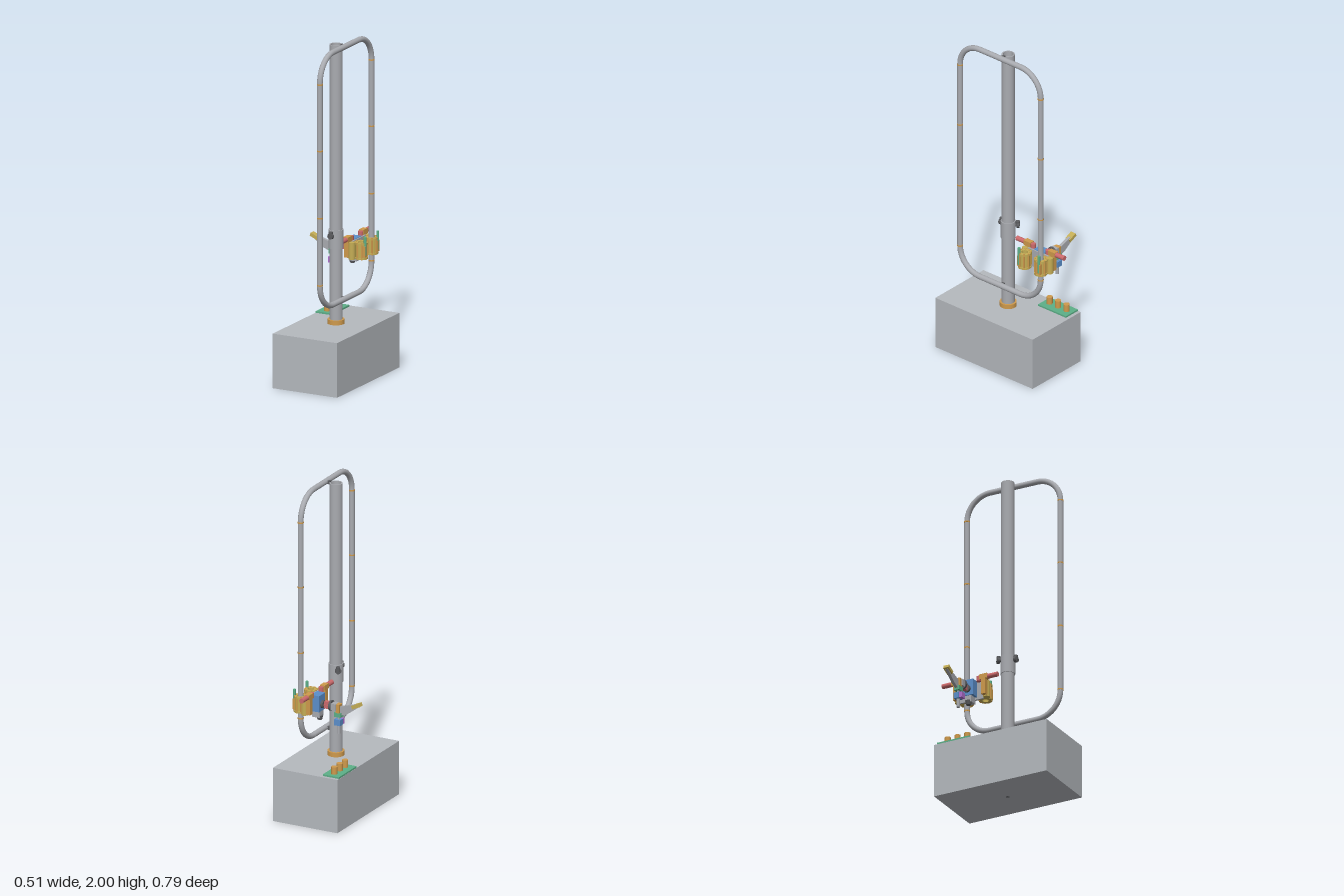
import * as THREE from 'three';

const mat = (name, hex) => new THREE.MeshStandardMaterial({ name, color: hex, side: THREE.DoubleSide });

export function createModel() {
  const root = new THREE.Group();
  root.name = 'mastWithLoopAndGripper';
  const M = {
    base: mat('baseGrey', 0xb5b9be),
    steel: mat('steelGrey', 0xa9abb0),
    dark: mat('darkGrey', 0x5c5d60),
    orange: mat('amber', 0xcf9a4c),
    olive: mat('brass', 0xc4ad55),
    red: mat('red', 0xcc6a6c),
    green: mat('green', 0x5db088),
    blue: mat('blue', 0x5b8fcb),
    purple: mat('purple', 0xb070d0),
  };
  let parent = root;
  const group = (name) => {
    parent = new THREE.Group();
    parent.name = name;
    root.add(parent);
  };
  const add = (name, geo, m, x = 0, y = 0, z = 0) => {
    const mesh = new THREE.Mesh(geo, m);
    mesh.name = name;
    mesh.position.set(x, y, z);
    parent.add(mesh);
    return mesh;
  };
  // Box given by its limits on each axis
  const box = (name, m, x0, x1, y0, y1, z0, z1) =>
    add(name, new THREE.BoxGeometry(x1 - x0, y1 - y0, z1 - z0), m, (x0 + x1) / 2, (y0 + y1) / 2, (z0 + z1) / 2);
  // Cylinder centred at a point, along a chosen axis
  const cyl = (name, m, r, len, x, y, z, axis = 'y', r2 = r) => {
    const c = add(name, new THREE.CylinderGeometry(r, r2, len, 24), m, x, y, z);
    if (axis === 'x') c.rotation.z = Math.PI / 2;
    if (axis === 'z') c.rotation.x = Math.PI / 2;
    return c;
  };
  // Hollow upright tube as a closed lathe with sharp rims
  const pipe = (name, m, ro, ri, y0, y1, x, z) => {
    const s = new THREE.Shape().absarc(0, 0, ro, 0, Math.PI * 2);
    s.holes.push(new THREE.Path().absarc(0, 0, ri, 0, Math.PI * 2, true));
    const g = new THREE.ExtrudeGeometry(s, { depth: y1 - y0, bevelEnabled: false, curveSegments: 24 });
    g.rotateX(-Math.PI / 2);
    return add(name, g, m, x, y0, z);
  };

  // Pedestal
  group('pedestal');
  box('baseBlock', M.base, -0.168, 0.253, 0, 0.325, -0.342, 0.394);
  cyl('baseDrain', M.dark, 0.01, 0.002, 0.042, 0.0008, 0.025);

  // Mast with foot collar
  group('mast');
  const px = 0.042, pz = 0.025;
  pipe('mastTube', M.steel, 0.038, 0.031, 0.325, 1.985, px, pz);
  pipe('innerTube', M.steel, 0.017, 0.014, 0.325, 1.96, px, pz);
  cyl('mastFloor', M.steel, 0.032, 0.01, px, 1.93, pz);
  pipe('footCollar', M.orange, 0.049, 0.036, 0.325, 0.352, px, pz);

  // Sliding sleeve with clamp knobs
  group('sleeve');
  pipe('sleeveTube', M.steel, 0.043, 0.037, 0.775, 0.885, px, pz);
  for (const [dx, dz] of [[-0.08, 1], [-0.75, -0.85]]) {
    const d = new THREE.Vector3(dx, 0, dz).normalize();
    const stem = cyl('knobStem', M.dark, 0.009, 0.03, px + d.x * 0.045, 0.855, pz + d.z * 0.045);
    const knob = cyl('knob', M.dark, 0.018, 0.016, px + d.x * 0.056, 0.855, pz + d.z * 0.056);
    for (const k of [stem, knob]) k.quaternion.setFromUnitVectors(new THREE.Vector3(0, 1, 0), d);
    cyl('knobGrip', M.dark, 0.012, 0.03, px + d.x * 0.055, 0.865, pz + d.z * 0.055);
  }

  // Rounded upright loop
  group('loop');
  const lx = 0.107, tr = 0.0165, R = 0.15, zA = 0.333, zB = -0.277, yT = 1.983, yB = 0.482;
  const corners = [[yT - R, zA - R], [yT - R, zB + R], [yB + R, zB + R], [yB + R, zA - R]];
  corners.forEach(([y, z], i) => {
    const t = add('loopCorner', new THREE.TorusGeometry(R, tr, 16, 12, Math.PI / 2), M.steel, lx, y, z);
    t.rotation.set(0, -Math.PI / 2, i * Math.PI / 2);
  });
  for (const z of [zA, zB]) {
    cyl('loopUpright', M.steel, tr, yT - yB - 2 * R, lx, (yT + yB) / 2, z);
    for (const y of [0.635, 1.035, 1.435, 1.83]) cyl('jointRing', M.orange, 0.0178, 0.008, lx, y, z);
  }
  for (const y of [yT, yB]) {
    cyl('loopCrossTube', M.steel, tr, zA - zB - 2 * R, lx, y, (zA + zB) / 2, 'z');
    box('loopBracket', M.dark, 0.076, 0.1, y - 0.012, y + 0.008, 0.016, 0.034);
  }

  // Sample tray with three cups
  group('tray');
  box('trayPlate', M.green, -0.167, -0.062, 0.325, 0.335, -0.322, -0.111);
  for (const z of [-0.281, -0.217, -0.153]) {
    cyl('cup', M.orange, 0.018, 0.044, -0.115, 0.357, z);
  }

  // Carriage body riding on the loop
  const cz = -0.217;
  group('carriage');
  box('backPlate', M.steel, 0.05, 0.062, 0.665, 0.775, -0.295, -0.14);
  box('motorBlock', M.blue, 0, 0.054, 0.68, 0.778, -0.255, -0.18);
  box('lowerBlock', M.steel, 0.005, 0.055, 0.64, 0.68, -0.24, -0.194);
  cyl('lowerMotor', M.dark, 0.02, 0.025, 0.015, 0.637, cz, 'y', 0.014);
  cyl('rotaryHub', M.dark, 0.023, 0.02, -0.004, 0.72, cz, 'x');

  // Mirrored roller clamps, actuators and pins
  for (const s of [-1, 1]) {
    group(s < 0 ? 'rearClamp' : 'frontClamp');
    const z = cz + s * 0.061;
    pipe('clampShell', M.olive, 0.034, 0.0185, 0.685, 0.762, lx, z);
    for (const y of [0.675, 0.762]) pipe('clampFlange', M.olive, 0.039, 0.0185, y, y + 0.011, lx, z);
    for (let i = 0; i < 8; i++) {
      const a = (i / 8) * Math.PI * 2 + 0.2;
      cyl('clampBolt', M.orange, 0.0055, 0.102, lx + Math.cos(a) * 0.034, 0.725, z + Math.sin(a) * 0.034);
    }
    cyl('rollerPost', M.olive, 0.02, 0.1, 0.063, 0.723, cz + s * 0.092);
    box('rollerArm', M.olive, 0.06, 0.085, 0.68, 0.77, z - 0.018, z + 0.022);
    const zi = cz + s * 0.067, zo = cz + s * 0.117;
    box('actuatorBracket', M.orange, 0.02, 0.052, 0.68, 0.803, Math.min(zi, zo) + 0.012, Math.max(zi, zo) - 0.012);
    box('actuatorHead', M.orange, 0.02, 0.052, 0.775, 0.805, Math.min(zi, zo), Math.max(zi, zo));
    cyl('actuator', M.red, 0.0145, 0.065, 0.036, 0.789, cz + s * 0.148, 'z');
    cyl('actuatorTip', M.red, 0.015, 0.03, 0.038, 0.785, cz + s * 0.056);
    cyl('lockPin', M.green, 0.008, 0.11, 0.14, 0.755, cz + s * 0.075);
    box('pinMount', M.orange, 0.125, 0.146, 0.69, 0.755, z + s * 0.014 - 0.012, z + s * 0.014 + 0.012);
  }

  // Wrist between carriage and arm
  group('wrist');
  cyl('wristShaft', M.red, 0.0125, 0.04, -0.037, 0.72, cz, 'x');
  box('wristCoupling', M.red, -0.055, -0.02, 0.7, 0.743, cz - 0.012, cz + 0.012);
  cyl('wristDisc', M.dark, 0.031, 0.012, -0.061, 0.722, cz, 'x');
  box('wristBlock', M.steel, -0.1, -0.067, 0.7, 0.74, cz - 0.02, cz + 0.023);

  // Tapered arm with angled tip
  group('arm');
  const arm = new THREE.Shape([
    [-0.24, 0.762], [-0.12, 0.727], [-0.09, 0.74], [-0.09, 0.69], [-0.13, 0.675], [-0.17, 0.69], [-0.245, 0.745],
  ].map(([x, y]) => new THREE.Vector2(x, y)));
  add('armPlate', new THREE.ExtrudeGeometry(arm, { depth: 0.018, bevelEnabled: false }), M.steel, 0, 0, cz - 0.009);
  const tip = add('armTip', new THREE.BoxGeometry(0.055, 0.02, 0.035), M.olive, -0.227, 0.749, cz);
  tip.rotation.z = -0.42;

  // Tool head hanging below the arm
  group('toolHead');
  box('toolClamp', M.orange, -0.121, -0.097, 0.688, 0.74, cz - 0.018, cz + 0.018);
  box('toolPlate', M.green, -0.13, -0.086, 0.662, 0.69, cz - 0.016, cz + 0.018);
  cyl('toolRod', M.steel, 0.008, 0.03, -0.108, 0.653, cz);
  box('toolMotor', M.blue, -0.128, -0.088, 0.612, 0.648, cz - 0.02, cz + 0.014);
  box('toolCover', M.purple, -0.126, -0.09, 0.613, 0.647, cz + 0.014, cz + 0.034);
  cyl('nozzle', M.steel, 0.01, 0.055, -0.108, 0.587, cz);
  return root;
}
